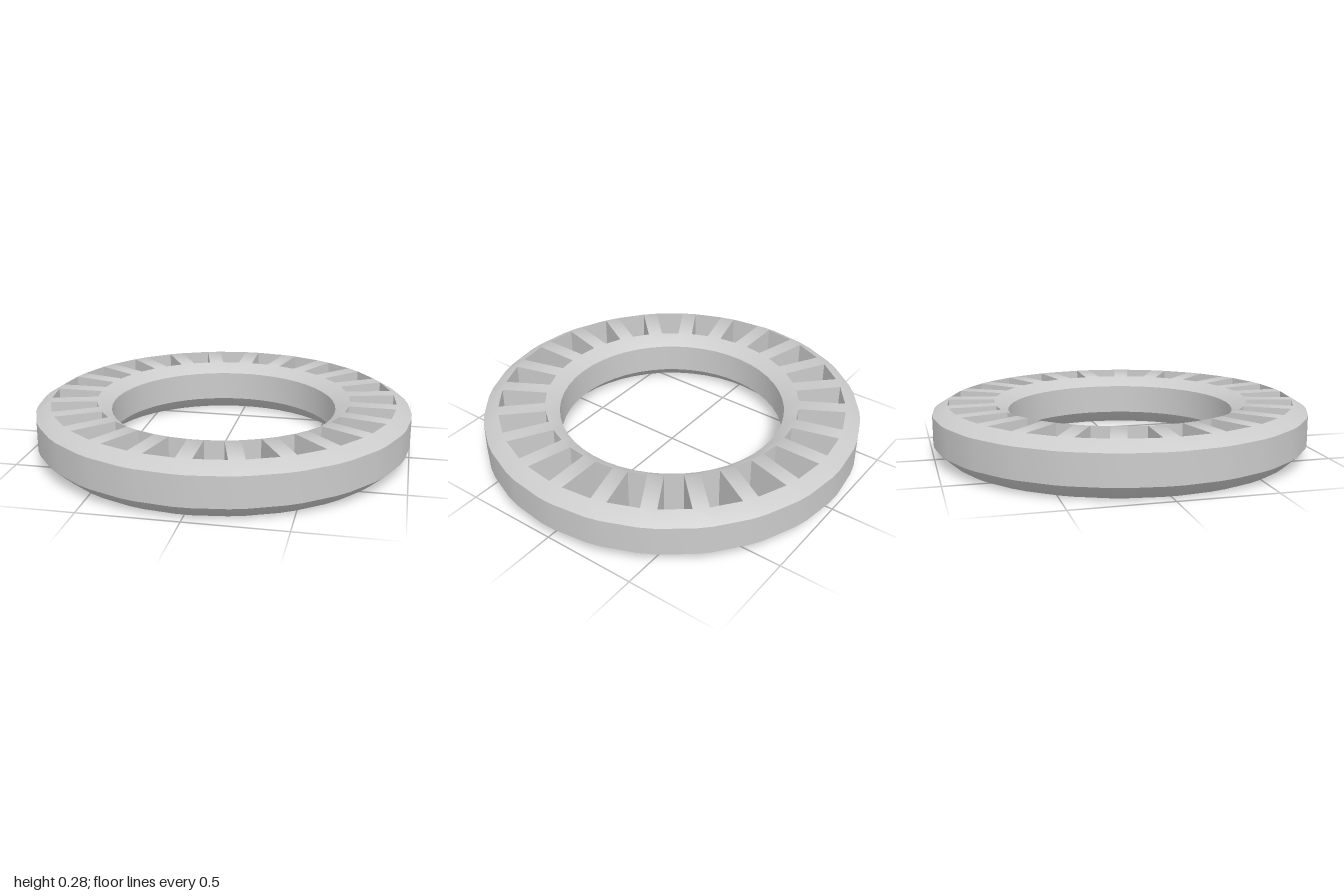
import * as THREE from 'three';
import { toCreasedNormals } from 'three/addons/utils/BufferGeometryUtils.js';

const SPOKES = 24;
const HALF_WIDTH = 0.04; // half the constant width of a spoke

// Ring cross-section as [radius, height], running from the outer wall over the top
const PROFILE = [
  [1, 0.072], [1, 0.23], [0.92, 0.277], [0.675, 0.277],
  [0.6, 0.23], [0.6, 0.072], [0.675, 0], [0.92, 0],
];
const FULL = [0, 1, 2, 3, 4, 5, 6, 7];
const OUTER_RIM = [0, 1, 2, 7];
const INNER_RIM = [3, 4, 5, 6];

// Cross-section along one side (-1 or 1) of a spoke
function section(index, side) {
  const a = (index / SPOKES) * Math.PI * 2;
  const s = side * HALF_WIDTH;
  return PROFILE.map(([r, y]) => [
    r * Math.cos(a) - s * Math.sin(a), y, r * Math.sin(a) + s * Math.cos(a),
  ]);
}

function slottedRingGeometry() {
  const positions = [];
  const quad = (a, b, c, d) => positions.push(...a, ...b, ...c, ...a, ...c, ...d);

  // Skin between two sections around a closed loop of profile points
  const sweep = (from, to, loop) => loop.forEach((p, i) => {
    const q = loop[(i + 1) % loop.length];
    quad(from[p], from[q], to[q], to[p]);
  });

  for (let k = 0; k < SPOKES; k++) {
    const start = section(k, -1);
    const end = section(k, 1);
    const next = section(k + 1, -1);

    // Solid spoke running through both rims
    sweep(start, end, FULL);

    // Rims on either side of the open slot
    sweep(end, next, OUTER_RIM);
    sweep(end, next, INNER_RIM);

    // Spoke walls facing the slots
    quad(end[7], end[2], end[3], end[6]);
    quad(start[6], start[3], start[2], start[7]);
  }

  const geometry = new THREE.BufferGeometry();
  geometry.setAttribute('position', new THREE.Float32BufferAttribute(positions, 3));
  return toCreasedNormals(geometry, Math.PI / 4);
}

export function createModel() {
  const model = new THREE.Group();
  model.name = 'slottedRing';
  const ring = new THREE.Mesh(
    slottedRingGeometry(),
    new THREE.MeshStandardMaterial({ color: 0xcccccc }),
  );
  ring.name = 'ringWithSpokes';
  model.add(ring);
  return model;
}
